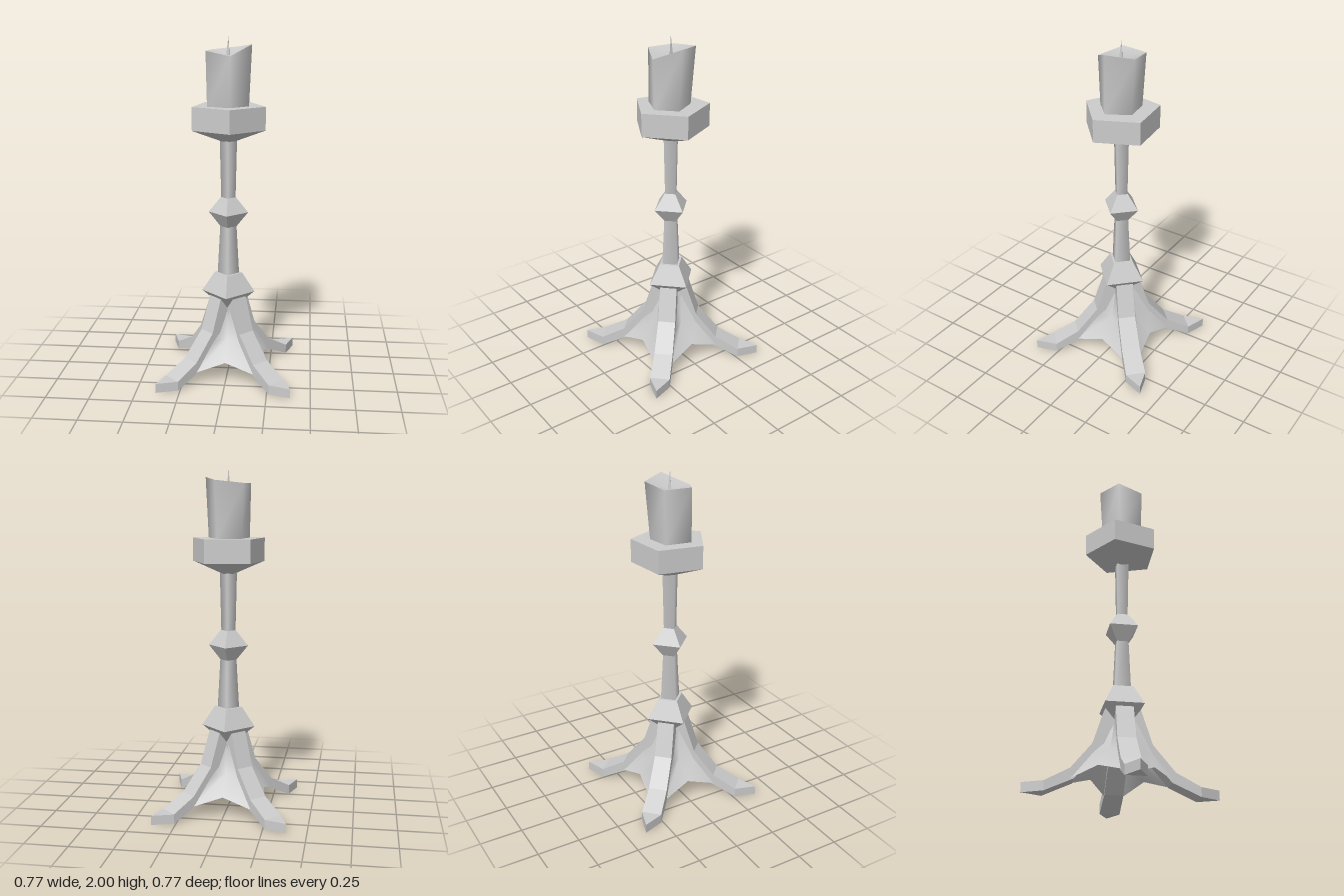
import * as THREE from 'three';

const smooth = new THREE.MeshStandardMaterial({ color: 0xcccccc, side: THREE.DoubleSide });
const flat = new THREE.MeshStandardMaterial({ color: 0xcccccc, side: THREE.DoubleSide, flatShading: true });

function add(parent, name, geometry, material) {
  const mesh = new THREE.Mesh(geometry, material);
  mesh.name = name;
  parent.add(mesh);
  return mesh;
}

// Tapered open section between two heights, first corner on the +z axis
function section(rBottom, yBottom, rTop, yTop, sides = 4) {
  const h = yTop - yBottom;
  return new THREE.CylinderGeometry(rTop, rBottom, h, sides, 1, true).translate(0, yBottom + h / 2, 0);
}

function faceted(geometry) {
  const g = geometry.toNonIndexed();
  g.computeVertexNormals();
  return g;
}

function indexed(points, index) {
  const g = new THREE.BufferGeometry();
  g.setAttribute('position', new THREE.Float32BufferAttribute(points.flat(), 3));
  g.setIndex(index);
  g.computeVertexNormals();
  return g;
}

// Foot profile along the leg: [top out, top y, bottom out, bottom y, half width]
const legSections = [
  [0.10, 0.48, 0.045, 0.41, 0.05],
  [0.165, 0.28, 0.12, 0.245, 0.052],
  [0.289, 0.13, 0.268, 0.072, 0.055],
  [0.428, 0.055, 0.428, 0, 0.059],
  [0.544, 0.055, 0.544, 0, 0],
];

function legGeometry() {
  const g = new THREE.BoxGeometry(2, 2, 4, 1, 1, 4);
  const p = g.attributes.position;
  for (let i = 0; i < p.count; i++) {
    const [to, ty, bo, by, w] = legSections[Math.round(p.getZ(i) + 2)];
    const top = p.getY(i) > 0;
    p.setXYZ(i, p.getX(i) * w, top ? ty : by, top ? to : bo);
  }
  return faceted(g);
}

// Skirt rows from the stem down to the rim: [side x, side y, side z, middle y, middle z]
const webRows = [
  [0.014, 0.41, 0.085, 0.40, 0.04],
  [0.08, 0.225, 0.153, 0.235, 0.11],
  [0.17, 0.07, 0.245, 0.125, 0.215],
];

function webGeometry() {
  const g = new THREE.PlaneGeometry(2, 2, 2, 2);
  webRows.forEach(([x, y, z, my, mz], row) => {
    [-1, 0, 1].forEach((s, col) =>
      g.attributes.position.setXYZ(row * 3 + col, s * x, s ? y : my, s ? z : mz));
  });
  g.computeVertexNormals();
  return g;
}

export function createModel() {
  const model = new THREE.Group();
  model.name = 'candlestick';

  // Four splayed feet with curved skirts between them
  const base = new THREE.Group();
  base.name = 'base';
  model.add(base);
  const leg = legGeometry();
  const web = webGeometry();
  for (let i = 0; i < 4; i++) {
    add(base, 'leg', leg, flat).rotation.y = Math.PI / 4 + i * Math.PI / 2;
    add(base, 'skirt', web, smooth).rotation.y = i * Math.PI / 2;
  }

  // Square stem with a collar and a knob
  const stem = new THREE.Group();
  stem.name = 'stem';
  model.add(stem);
  add(stem, 'collarUnderside', faceted(section(0.001, 0.37, 0.157, 0.5)), flat);
  add(stem, 'collarTop', faceted(section(0.157, 0.5, 0.082, 0.615)), flat);
  add(stem, 'collarCap', new THREE.CircleGeometry(0.082, 4).rotateX(-Math.PI / 2).translate(0, 0.615, 0), flat);
  add(stem, 'lowerStem', section(0.064, 0.61, 0.048, 0.905), smooth);
  add(stem, 'knobUnderside', faceted(section(0.048, 0.9, 0.116, 0.985)), flat);
  add(stem, 'knobTop', faceted(section(0.116, 0.985, 0.044, 1.075)), flat);
  add(stem, 'upperStem', section(0.042, 1.07, 0.05, 1.41), smooth);

  // Five-sided drip dish
  const dish = new THREE.Group();
  dish.name = 'dish';
  dish.rotation.y = THREE.MathUtils.degToRad(79 - 72 * 2);
  dish.rotation.y = THREE.MathUtils.degToRad(79);
  model.add(dish);
  add(dish, 'dishUnderside', faceted(section(0.04, 1.405, 0.22, 1.475, 5)), flat);
  add(dish, 'dishRim', faceted(section(0.22, 1.475, 0.22, 1.61, 5)), flat);
  add(dish, 'dishTop', new THREE.CircleGeometry(0.22, 5, -Math.PI / 2).rotateX(-Math.PI / 2).translate(0, 1.61, 0), flat);

  // Leaning candle with an uneven, hollowed top
  const bottom = [[0.12, 1.61, 0.03], [0.05, 1.61, -0.10], [-0.09, 1.61, -0.08], [-0.115, 1.61, 0.07], [0.02, 1.61, 0.127]];
  const top = [[0.135, 1.955, 0.02], [0.06, 1.937, -0.125], [-0.10, 1.92, -0.095], [-0.122, 1.92, 0.065], [0.022, 1.895, 0.137]];
  const sides = [];
  const cap = [];
  for (let i = 0; i < 5; i++) {
    const j = (i + 1) % 5;
    sides.push(i, j, 5 + j, i, 5 + j, 5 + i);
    cap.push(i, j, 5);
  }
  const candle = new THREE.Group();
  candle.name = 'candle';
  model.add(candle);
  add(candle, 'candleSide', indexed([...bottom, ...top], sides), smooth);
  add(candle, 'candleTop', indexed([...top, [0, 1.89, 0]], cap), smooth);
  add(candle, 'wick', faceted(section(0.013, 1.885, 0.0005, 2, 3)), flat).rotation.y = 0.5;

  // Dish circle starts on +z like the rim sections
  return model;
}
